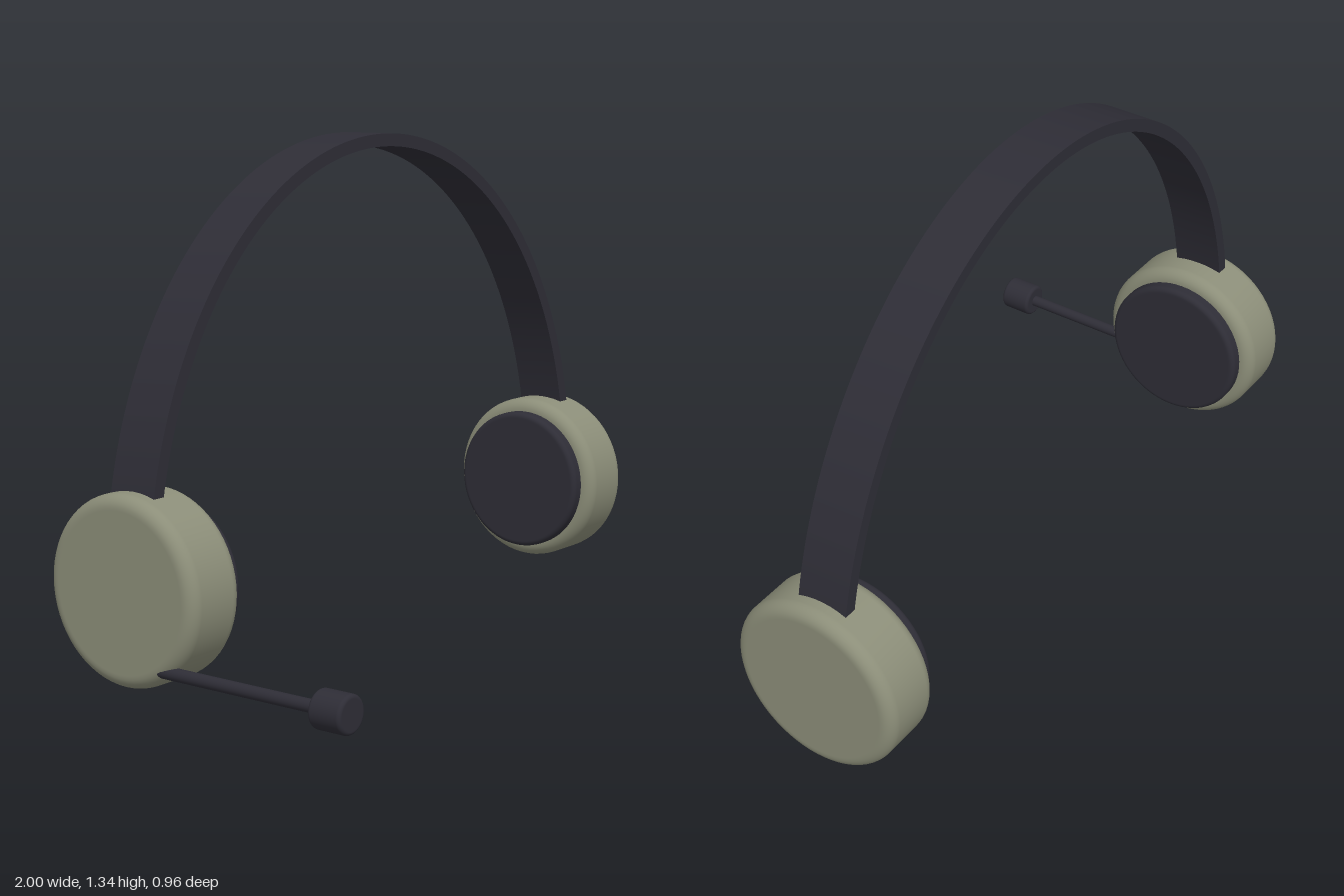
import * as THREE from 'three';
import { toCreasedNormals } from 'three/addons/utils/BufferGeometryUtils.js';

const CX = 0.015, CY = 0.247, CZ = -0.236; // headset centre line and cup height

// Disc along +y from y0 to y1 with rounded rims
function roundedDisc(radius, y0, y1, bevel) {
  const pts = [new THREE.Vector2(0, y0), new THREE.Vector2(radius - bevel - 0.004, y0)];
  const steps = 8;
  for (let i = 0; i <= steps; i++) {
    const a = (i / steps) * Math.PI / 2;
    pts.push(new THREE.Vector2(radius - bevel + bevel * Math.sin(a), y0 + bevel - bevel * Math.cos(a)));
  }
  for (let i = 0; i <= steps; i++) {
    const a = (i / steps) * Math.PI / 2;
    pts.push(new THREE.Vector2(radius - bevel + bevel * Math.cos(a), y1 - bevel + bevel * Math.sin(a)));
  }
  pts.push(new THREE.Vector2(radius - bevel - 0.004, y1), new THREE.Vector2(0, y1));
  return new THREE.LatheGeometry(pts, 64);
}

function addMesh(parent, name, geometry, material) {
  const mesh = new THREE.Mesh(geometry, material);
  mesh.name = name;
  parent.add(mesh);
  return mesh;
}

export function createModel() {
  const model = new THREE.Group();
  model.name = 'headset';
  const olive = new THREE.MeshStandardMaterial({ color: 0x8c8e79 });
  olive.name = 'olive grey';
  const dark = new THREE.MeshStandardMaterial({ color: 0x2e2d36 });
  dark.name = 'charcoal';

  // Headband: flat strip along a half ellipse, ends sunk into the cups
  const shape = new THREE.Shape();
  const start = 0.1;
  shape.absellipse(0, 0, 0.95, 1.091, start, Math.PI - start, false);
  shape.absellipse(0, 0, 0.915, 1.056, Math.PI - start, start, true);
  shape.closePath();
  const bandGeometry = new THREE.ExtrudeGeometry(shape, { depth: 0.145, bevelEnabled: false, curveSegments: 64 });
  const band = addMesh(model, 'headband', toCreasedNormals(bandGeometry, 0.5), dark);
  band.position.set(CX, 0.249, CZ - 0.0725);

  // Ear cups with their inner cushions
  const cupGeometry = roundedDisc(0.246, 0.802, 0.984, 0.035);
  const padGeometry = roundedDisc(0.209, 0.765, 0.83, 0.015);
  for (const [side, sign] of [['left', 1], ['right', -1]]) {
    const ear = new THREE.Group();
    ear.name = side + 'Ear';
    ear.position.set(CX, CY, CZ);
    ear.rotation.z = -sign * Math.PI / 2;
    addMesh(ear, side + 'EarCup', cupGeometry, olive);
    addMesh(ear, side + 'EarCushion', padGeometry, dark);
    model.add(ear);
  }

  // Microphone on a straight boom, pointing forward from the right cup
  const microphone = new THREE.Group();
  microphone.name = 'microphone';
  microphone.position.set(-0.951, 0.066, 0);
  microphone.rotation.x = Math.PI / 2;
  const boom = addMesh(microphone, 'microphoneBoom', new THREE.CylinderGeometry(0.0165, 0.0165, 0.53, 24), dark);
  boom.position.y = 0.135;
  addMesh(microphone, 'microphoneTip', roundedDisc(0.049, 0.386, 0.482, 0.01), dark);
  model.add(microphone);

  return model;
}
